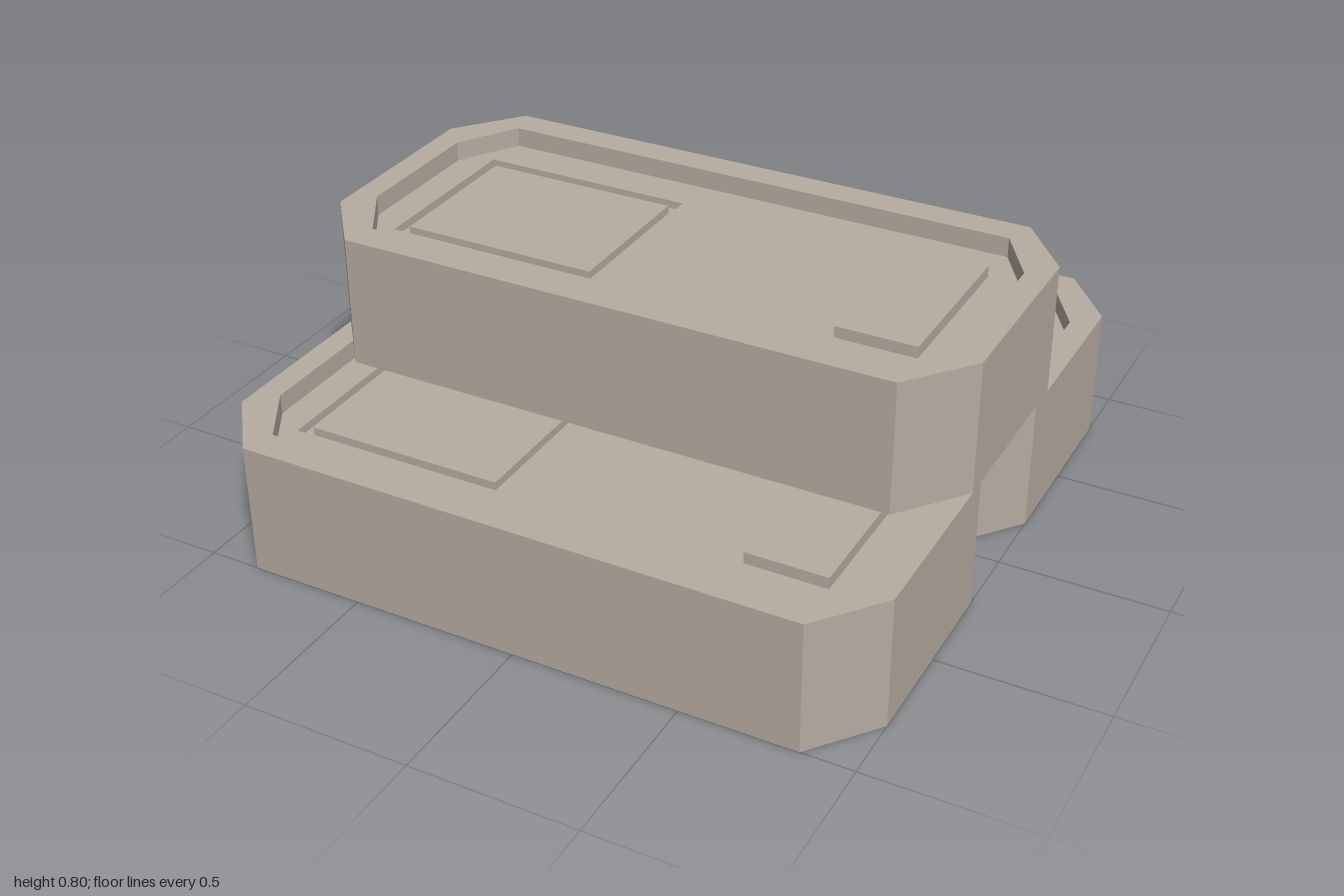
import * as THREE from 'three';

const HEIGHT = 0.4, FLOOR = 0.34, GROOVE = 0.315;

// Rectangle with chamfered corners, as plan-view points
function octagon(hx, hz, cx, cz) {
  return [
    [hx, -hz + cz], [hx, hz - cz], [hx - cx, hz], [-hx + cx, hz],
    [-hx, hz - cz], [-hx, -hz + cz], [-hx + cx, -hz], [hx - cx, -hz],
  ].map(([x, z]) => new THREE.Vector2(x, z));
}

function rectangle(x0, x1, hz) {
  return [[x0, -hz], [x1, -hz], [x1, hz], [x0, hz]].map(([x, z]) => new THREE.Vector2(x, z));
}

// Upright slab from a plan outline, between heights y0 and y1
function slab(name, material, outline, y0, y1, hole) {
  const shape = new THREE.Shape(outline);
  if (hole) shape.holes.push(new THREE.Path(hole));
  const geometry = new THREE.ExtrudeGeometry(shape, { depth: y1 - y0, bevelEnabled: false });
  geometry.rotateX(-Math.PI / 2).translate(0, y0, 0);
  const mesh = new THREE.Mesh(geometry, material);
  mesh.name = name;
  return mesh;
}

function createBar(name, material) {
  const bar = new THREE.Group();
  bar.name = name;
  const outer = octagon(1, 0.489, 0.155, 0.195);
  const inner = octagon(0.925, 0.395, 0.11, 0.18);
  const groove = rectangle(-0.83, -0.165, 0.271);
  bar.add(
    slab('base', material, outer, 0, GROOVE),
    // Recessed floor, cut by a groove around the large panel
    slab('floor', material, outer, GROOVE, FLOOR, groove),
    slab('largePanel', material, rectangle(-0.8, -0.195, 0.236), GROOVE, FLOOR),
    // Raised border and small raised pad
    slab('rim', material, outer, FLOOR, HEIGHT, inner),
    slab('smallPad', material, rectangle(0.567, 0.808, 0.256), FLOOR, FLOOR + 0.035),
  );
  return bar;
}

export function createModel() {
  const model = new THREE.Group();
  model.name = 'stackedBars';
  const stone = new THREE.MeshStandardMaterial({ color: 0xb6aca1 });
  stone.name = 'warm grey';

  // Two bars side by side, with a third resting across the gap
  const places = [['frontBar', 0, 0.511], ['backBar', 0, -0.511], ['topBar', HEIGHT, -0.017]];
  for (const [name, y, z] of places) {
    const bar = createBar(name, stone);
    bar.position.set(0, y, z);
    model.add(bar);
  }
  return model;
}
